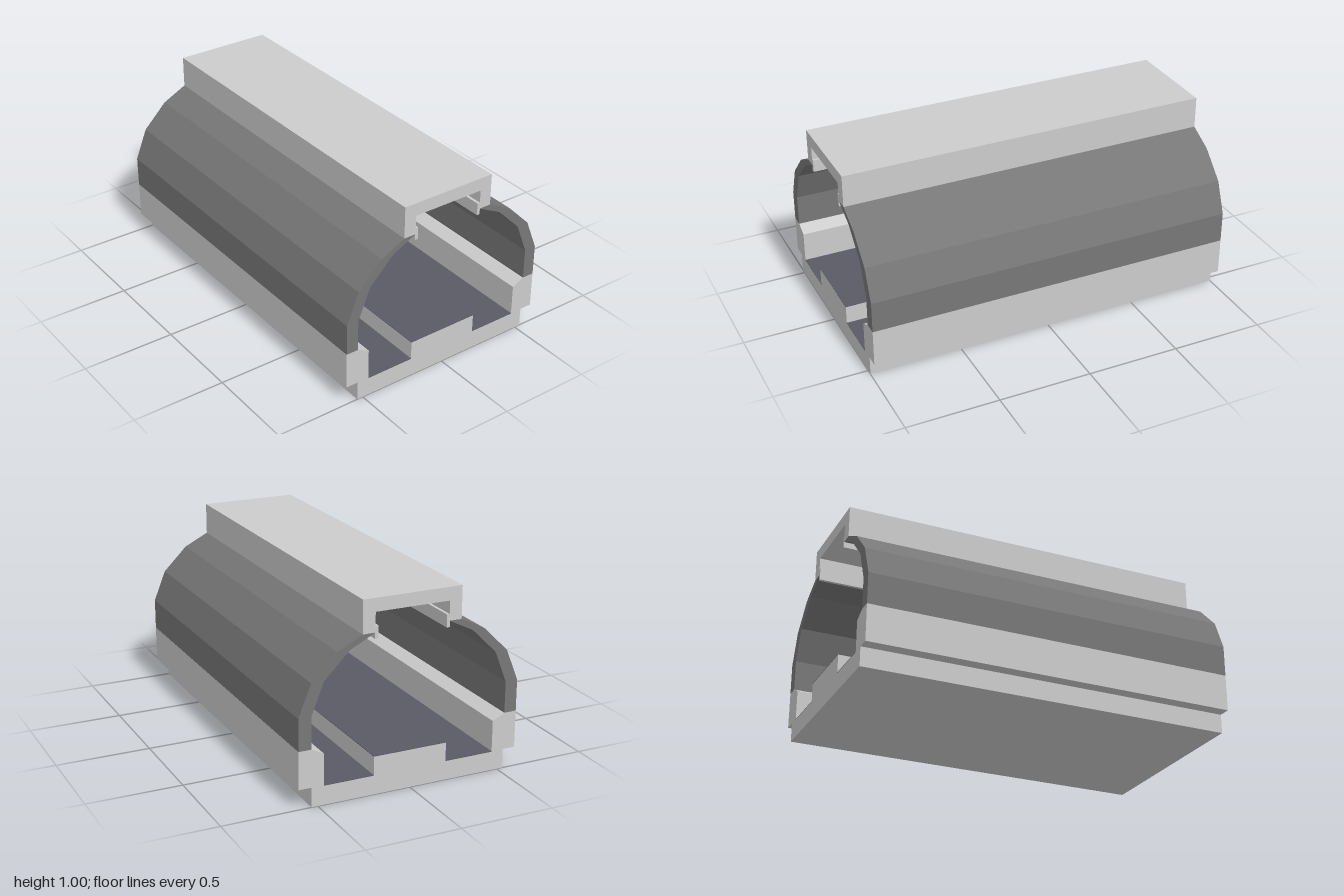
import * as THREE from 'three';

const LENGTH = 2;

function material(name, color) {
  const m = new THREE.MeshStandardMaterial({ color });
  m.name = name;
  return m;
}

// Extrudes a (z, y) cross-section along the full length of the x axis.
function profile(name, points, mat) {
  const shape = new THREE.Shape(points.map(([z, y]) => new THREE.Vector2(z, y)));
  const geo = new THREE.ExtrudeGeometry(shape, { depth: LENGTH, bevelEnabled: false });
  geo.translate(0, 0, -LENGTH / 2).rotateY(-Math.PI / 2);
  const mesh = new THREE.Mesh(geo, mat);
  mesh.name = name;
  return mesh;
}

const mirrored = (half) => [...half, ...half.map(([z, y]) => [-z, y]).reverse()];

export function createModel() {
  const group = new THREE.Group();
  group.name = 'tunnelSegment';
  const shell = material('light grey shell', 0xcccccc);
  const panel = material('dark grey panel', 0x777777);
  const floor = material('slate floor', 0x5a5a66);

  // Base tray with a raised central walkway and side sills
  group.add(profile('base', mirrored([
    [0.533, 0], [0.533, 0.103], [0.6, 0.103], [0.6, 0.3], [0.533, 0.3],
    [0.467, 0.267], [0.467, 0.1], [0.2, 0.1], [0.2, 0.2],
  ]), shell));

  // Inverted channel along the roof
  group.add(profile('roofChannel', mirrored([
    [0.2, 0.936], [0.2, 0.834], [0.267, 0.834], [0.267, 1.005],
  ]), shell));

  // Thin floor covering on the walkway
  const plate = (name, z, y, width) => {
    const mesh = new THREE.Mesh(new THREE.BoxGeometry(LENGTH, 0.003, width), floor);
    mesh.name = name;
    mesh.position.set(0, y + 0.0015, z);
    group.add(mesh);
  };
  plate('walkwayFloor', 0, 0.2, 0.4);

  for (const s of [1, -1]) {
    const side = s > 0 ? 'front' : 'back';
    const flip = (pts) => pts.map(([z, y]) => [s * z, y]);

    // Faceted curved wall
    group.add(profile(side + 'Wall', flip([
      [0.6, 0.3], [0.6, 0.467], [0.533, 0.634], [0.4, 0.767], [0.267, 0.834],
      [0.2, 0.834], [0.333, 0.767], [0.467, 0.634], [0.533, 0.467], [0.533, 0.3],
    ]), panel));

    // Narrow lip inside the roof channel
    group.add(profile(side + 'RoofLip', flip([
      [0.202, 0.802], [0.202, 0.868], [0.185, 0.868], [0.185, 0.802],
    ]), shell));

    // Floor covering in the side trough
    plate(side + 'TroughFloor', s * 0.3335, 0.1, 0.267);
  }
  return group;
}
